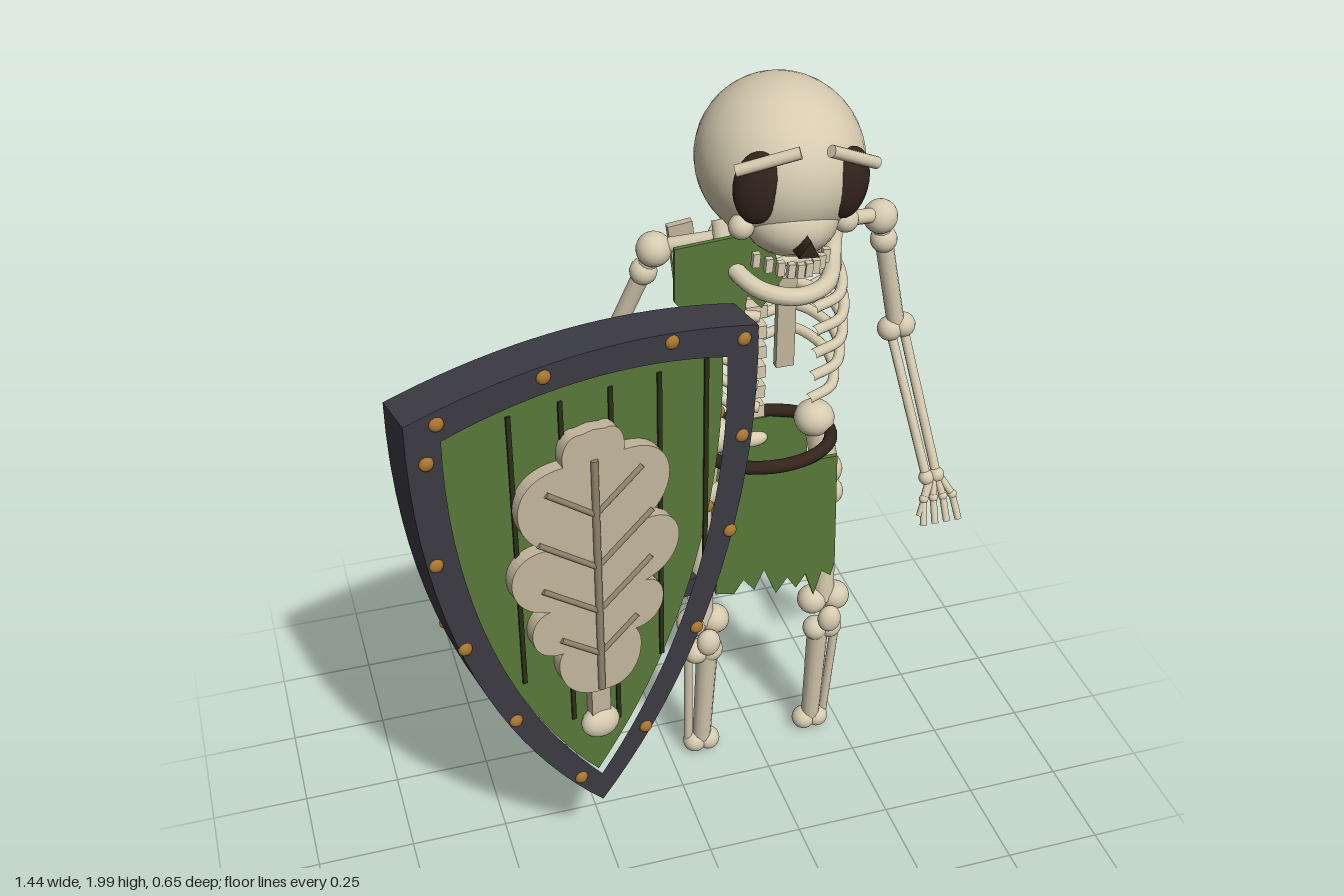
import * as THREE from 'three';

const mat = (name, color, side = THREE.FrontSide) => {
  const m = new THREE.MeshStandardMaterial({ color, side });
  m.name = name;
  return m;
};
const V = (x, y, z) => new THREE.Vector3(x, y, z);

export function createModel() {
  const bone = mat('bone', 0xd6cbb0), plateBone = mat('pale tan', 0xc2b59b), vein = mat('dull tan', 0x8f836b);
  const green = mat('moss green', 0x587838), groove = mat('groove dark', 0x2a3019), iron = mat('dark iron', 0x3b3a42);
  const wood = mat('brown wood', 0x553a29), leather = mat('leather', 0x70482c), brass = mat('brass', 0xa8752f);
  const dark = mat('dark hollow', 0x33241b);
  const model = new THREE.Group();

  // Helpers
  const add = (parent, name, geo, m, x = 0, y = 0, z = 0) => {
    const mesh = new THREE.Mesh(geo, m);
    mesh.name = name;
    mesh.position.set(x, y, z);
    parent.add(mesh);
    return mesh;
  };
  const group = (parent, name, x = 0, y = 0, z = 0) => {
    const g = new THREE.Group();
    g.name = name;
    g.position.set(x, y, z);
    parent.add(g);
    return g;
  };
  const ball = (parent, name, p, r, m = bone, sx = 1, sy = 1, sz = 1) => {
    const b = add(parent, name, new THREE.SphereGeometry(r, 20, 14), m, p.x, p.y, p.z);
    b.scale.set(sx, sy, sz);
    return b;
  };
  const rod = (parent, name, a, b, r, m = bone, r2 = r) => {
    const d = b.clone().sub(a);
    const c = add(parent, name, new THREE.CylinderGeometry(r2, r, d.length(), 12), m);
    c.position.copy(a).addScaledVector(d, 0.5);
    c.quaternion.setFromUnitVectors(V(0, 1, 0), d.normalize());
    return c;
  };
  const tube = (parent, name, pts, r, m = bone, closed = false) =>
    add(parent, name, new THREE.TubeGeometry(new THREE.CatmullRomCurve3(pts, closed), 36, r, 10, closed), m);
  const box = (parent, name, w, h, d, m, x, y, z) => add(parent, name, new THREE.BoxGeometry(w, h, d), m, x, y, z);
  const slab = (shape, depth) => new THREE.ExtrudeGeometry(shape, { depth, bevelEnabled: false, curveSegments: 20 });
  const poly = pts => new THREE.Shape(pts.map(p => new THREE.Vector2(p[0], p[1])));

  // Skull
  const head = group(model, 'head', 0.262, 1.81, -0.113);
  head.rotation.z = -0.08;
  add(head, 'cranium', new THREE.SphereGeometry(1, 36, 24), bone).scale.set(0.193, 0.19, 0.214);
  ball(head, 'upperJaw', V(0, -0.095, 0.1), 0.1, bone, 1.12, 0.88, 1.14);
  for (const s of [-1, 1]) {
    ball(head, 'eyeSocket', V(s * 0.107, 0.005, 0.158), 0.055, dark, 1, 1.55, 0.62).rotation.y = s * 0.4;
    rod(head, 'brow', V(s * 0.035, 0.105, 0.205), V(s * 0.165, 0.052, 0.165), 0.014);
    ball(head, 'cheekBone', V(s * 0.125, -0.1, 0.13), 0.03);
  }
  add(head, 'nose', new THREE.CylinderGeometry(0.028, 0.028, 0.04, 3).rotateX(-Math.PI / 2), dark, 0, -0.118, 0.22);
  for (let i = -4; i <= 4; i++)
    box(head, 'tooth', 0.017, 0.034, 0.016, bone, i * 0.021, -0.183, 0.2 - i * i * 0.004);
  tube(head, 'lowerJaw', [V(-0.14, -0.13, 0.03), V(-0.13, -0.205, 0.07), V(-0.085, -0.24, 0.165), V(0, -0.25, 0.2),
    V(0.085, -0.24, 0.165), V(0.13, -0.205, 0.07), V(0.14, -0.13, 0.03)], 0.021);

  // Spine, breastbone, ribs and shoulder blades, centred on the body axis
  const torso = group(model, 'torso', 0.258, 0, 0);
  for (let i = 0; i < 11; i++) box(torso, 'vertebra', 0.055, 0.035, 0.045, bone, 0, 1.05 + i * 0.0585, -0.245);
  box(torso, 'breastbone', 0.045, 0.24, 0.02, plateBone, -0.005, 1.44, -0.012);
  for (const s of [-1, 1]) {
    for (let i = 0; i < 6; i++) {
      const y = 1.58 - i * 0.063, w = s * [0.84, 0.95, 1, 1, 0.97, 0.9][i];
      tube(torso, 'rib', [V(s * 0.02, y, -0.24), V(w * 0.11, y + 0.008, -0.245), V(w * 0.175, y - 0.012, -0.14),
        V(w * 0.15, y - 0.045, -0.045), V(w * 0.07, y - 0.058, -0.015)], 0.0135);
    }
    box(torso, 'shoulderBlade', 0.062, 0.18, 0.02, plateBone, s * 0.175, 1.505, -0.272).rotation.z = -s * 0.12;
    rod(torso, 'collarBone', V(s * 0.05, 1.665, -0.05), V(s * 0.275, 1.615, -0.135), 0.018);
    ball(torso, 'hipBone', V(s * 0.135, 1.055, -0.15), 0.052, bone, 1, 0.92, 1);
  }
  ball(torso, 'tailBone', V(0, 0.96, -0.235), 0.03, bone, 1.4, 0.7, 0.7);

  // Belt and torn cloths
  const ring = Array.from({ length: 16 }, (_, i) => {
    const a = i / 16 * Math.PI * 2;
    return V(Math.cos(a) * 0.168, 1.03, -0.13 + Math.sin(a) * 0.125);
  });
  tube(torso, 'belt', ring, 0.017, dark, true);
  const cloth = poly([[-0.145, 1.02], [0.15, 1.02], [0.16, 0.68], [0.15, 0.64], [0.125, 0.66], [0.105, 0.585], [0.08, 0.66],
    [0.055, 0.62], [0.03, 0.66], [0, 0.615], [-0.035, 0.7], [-0.06, 0.64], [-0.09, 0.68], [-0.115, 0.64], [-0.165, 0.65]]);
  add(torso, 'frontCloth', slab(cloth, 0.012), green, 0, 0, -0.03);
  add(torso, 'backCloth', slab(cloth, 0.012), green, 0, 0, -0.248);
  add(model, 'shoulderCloth', slab(poly([[-0.02, 1.675], [0.2, 1.69], [0.24, 1.56], [0.19, 1.49], [0.155, 1.53],
    [0.13, 1.34], [0.09, 1.42], [0.06, 1.5], [0.03, 1.48], [-0.02, 1.54]]), 0.012), green, 0, 0, -0.014);

  // Legs
  for (const s of [-1, 1]) {
    const leg = group(model, s > 0 ? 'leftLeg' : 'rightLeg', 0.255, 0, 0);
    const x = s * 0.17;
    rod(leg, 'thighNeck', V(s * 0.145, 1.04, -0.145), V(x, 0.9, -0.13), 0.036);
    ball(leg, 'thighHead', V(x - s * 0.004, 0.905, -0.13), 0.046);
    ball(leg, 'thighKnob', V(x + s * 0.012, 0.83, -0.13), 0.037);
    rod(leg, 'thighBone', V(x, 0.88, -0.13), V(x, 0.5, -0.1), 0.029);
    for (const k of [-1, 1]) {
      ball(leg, 'kneeKnob', V(x + k * 0.032, 0.5, -0.1), 0.04);
      ball(leg, 'shinTop', V(x + k * 0.02, 0.4, -0.096), 0.034);
      ball(leg, 'ankle', V(x - s * 0.008 + k * 0.019, 0.042, -0.13), 0.033);
    }
    ball(leg, 'kneeCap', V(x, 0.465, -0.048), 0.032, bone, 1, 1.25, 0.8);
    rod(leg, 'shinBone', V(x - s * 0.012, 0.4, -0.096), V(x - s * 0.008, 0.04, -0.13), 0.029, bone, 0.025);
    rod(leg, 'calfBone', V(x + s * 0.04, 0.4, -0.1), V(x + s * 0.03, 0.05, -0.132), 0.012);
  }

  // Arms: shoulder, elbow and wrist joints
  const arm = (name, shoulder, elbow, wrist) => {
    const g = group(model, name);
    const neck = shoulder.clone().lerp(elbow, 0.2);
    ball(g, 'shoulder', shoulder, 0.042);
    ball(g, 'shoulderKnob', neck, 0.033);
    rod(g, 'upperArm', shoulder, elbow, 0.022);
    const side = wrist.clone().sub(elbow).cross(V(0, 0, 1)).normalize().multiplyScalar(0.017);
    for (const k of [-1, 1]) {
      const e = elbow.clone().addScaledVector(side, k), w = wrist.clone().addScaledVector(side, k * 0.8);
      ball(g, 'elbow', e, 0.032);
      rod(g, 'forearm', e, w, 0.012);
      ball(g, 'wrist', w, 0.02);
    }
    return g;
  };
  const leftArm = arm('leftArm', V(0.53, 1.61, -0.135), V(0.598, 1.29, -0.145), V(0.652, 0.935, 0.02));
  for (let i = 0; i < 4; i++) {
    const x = 0.625 + i * 0.026, k = V(x, 0.885, 0.045);
    rod(leftArm, 'palmBone', V(0.645 + i * 0.01, 0.93, 0.025), k, 0.0095);
    ball(leftArm, 'knuckle', k, 0.012);
    rod(leftArm, 'finger', k, V(x + (i - 1.5) * 0.006, 0.825, 0.075), 0.009);
  }
  rod(leftArm, 'thumb', V(0.645, 0.925, 0.03), V(0.61, 0.845, 0.06), 0.009);

  const rightArm = arm('rightArm', V(-0.03, 1.61, -0.135), V(-0.135, 1.3, -0.215), V(-0.345, 0.92, 0.015));
  for (let i = 0; i < 4; i++) {
    const y = 0.885 + i * 0.028;
    tube(rightArm, 'grippingFinger', [V(-0.345, 0.92, 0.02), V(-0.325, y, 0.03), V(-0.275, y, 0.04),
      V(-0.268, y, 0.085), V(-0.3, y, 0.105)], 0.0095);
  }

  // Shield, turned slightly toward the body
  const shield = group(model, 'shield', -0.293, 0, 0.173);
  shield.rotation.y = 0.21;
  const outline = (S, w, corner, crown, y1, x2, y2, tip) => {
    S.moveTo(-w, corner);
    S.quadraticCurveTo(0, crown, w, corner);
    S.bezierCurveTo(w + 0.015, y1, x2, y2, 0, tip);
    S.bezierCurveTo(-x2, y2, -w - 0.015, y1, -w, corner);
    return S;
  };
  const inner = S => outline(S, 0.345, 1.475, 1.57, 1.02, 0.21, 0.62, 0.35);
  const rim = outline(new THREE.Shape(), 0.425, 1.535, 1.645, 1.0, 0.26, 0.55, 0.26);
  rim.holes.push(inner(new THREE.Path()));
  add(shield, 'rim', slab(rim, 0.11), iron, 0, 0, -0.055);
  add(shield, 'frontPanel', slab(inner(new THREE.Shape()), 0.035), green);
  add(shield, 'backPanel', slab(inner(new THREE.Shape()), 0.035), wood, 0, 0, -0.035);
  [[-0.185, 0.72], [-0.062, 0.55], [0.06, 0.5], [0.182, 0.66], [0.302, 0.87]].forEach(([x, low]) => {
    for (const z of [0.036, -0.036]) box(shield, 'plankGroove', 0.011, 1.475 - low, 0.008, groove, x, (1.475 + low) / 2, z);
  });
  [[-0.352, 1.52], [-0.105, 1.56], [0.205, 1.555], [0.388, 1.51], [0.388, 1.25], [0.36, 0.985], [0.27, 0.72], [0.125, 0.455],
    [-0.058, 0.365], [-0.222, 0.63], [-0.333, 0.9], [-0.382, 1.16], [-0.382, 1.43]].forEach(([x, y]) => {
    for (const z of [0.055, -0.055]) ball(shield, 'rivet', V(x, y, z), 0.017, brass, 1, 1, 0.7);
  });

  // Lobed leaf emblem; each row is notch width, notch height, lobe width, lobe height
  const lobes = [[0.045, 1.32, 0.09, 1.36], [0.115, 1.11, 0.225, 1.25], [0.1, 0.93, 0.25, 1.03],
    [0.07, 0.8, 0.2, 0.86], [0.02, 0.64, 0.13, 0.72]];
  const leaf = new THREE.Shape();
  leaf.moveTo(0, 1.4);
  let last = [0.03, 1.395];
  leaf.lineTo(...last);
  for (const [nx, ny, lx, ly] of lobes) {
    leaf.bezierCurveTo(lx, Math.min(last[1] + 0.03, 1.41), lx, ly - 0.09, nx, ny);
    last = [nx, ny];
  }
  for (let i = lobes.length - 1; i >= 0; i--) {
    const [, , lx, ly] = lobes[i], [px, py] = i ? lobes[i - 1] : [0.03, 1.395];
    leaf.bezierCurveTo(-lx, ly - 0.09, -lx, Math.min(py + 0.03, 1.41), -px, py);
  }
  add(shield, 'leaf', slab(leaf, 0.035), plateBone, 0, 0, 0.033);
  rod(shield, 'leafMidrib', V(0, 1.32, 0.07), V(0, 0.65, 0.07), 0.009, vein);
  [[1.17, 0.12], [1.02, 0.145], [0.89, 0.14], [0.76, 0.1]].forEach(([y, l]) => {
    for (const s of [-1, 1]) rod(shield, 'leafVein', V(0, y, 0.069), V(s * l, y + l * 0.8, 0.069), 0.007, vein);
  });
  box(shield, 'leafStem', 0.05, 0.15, 0.03, plateBone, 0, 0.585, 0.05);
  ball(shield, 'stemKnob', V(0, 0.53, 0.055), 0.05, bone, 1, 0.85, 0.7);

  // Grip and arm strap on the back
  for (const [x, hi, lo] of [[-0.02, 1.11, 0.77], [0.28, 1.13, 0.77]])
    for (const y of [hi, lo]) box(shield, 'bracket', 0.085, 0.05, 0.085, iron, x, y, -0.075);
  rod(shield, 'grip', V(-0.02, 0.77, -0.095), V(-0.02, 1.11, -0.095), 0.018, leather);
  tube(shield, 'armStrap', [V(0.28, 1.13, -0.07), V(0.28, 1.07, -0.105), V(0.28, 0.95, -0.13), V(0.28, 0.83, -0.105),
    V(0.28, 0.77, -0.07)], 0.024, leather);

  return model;
}
